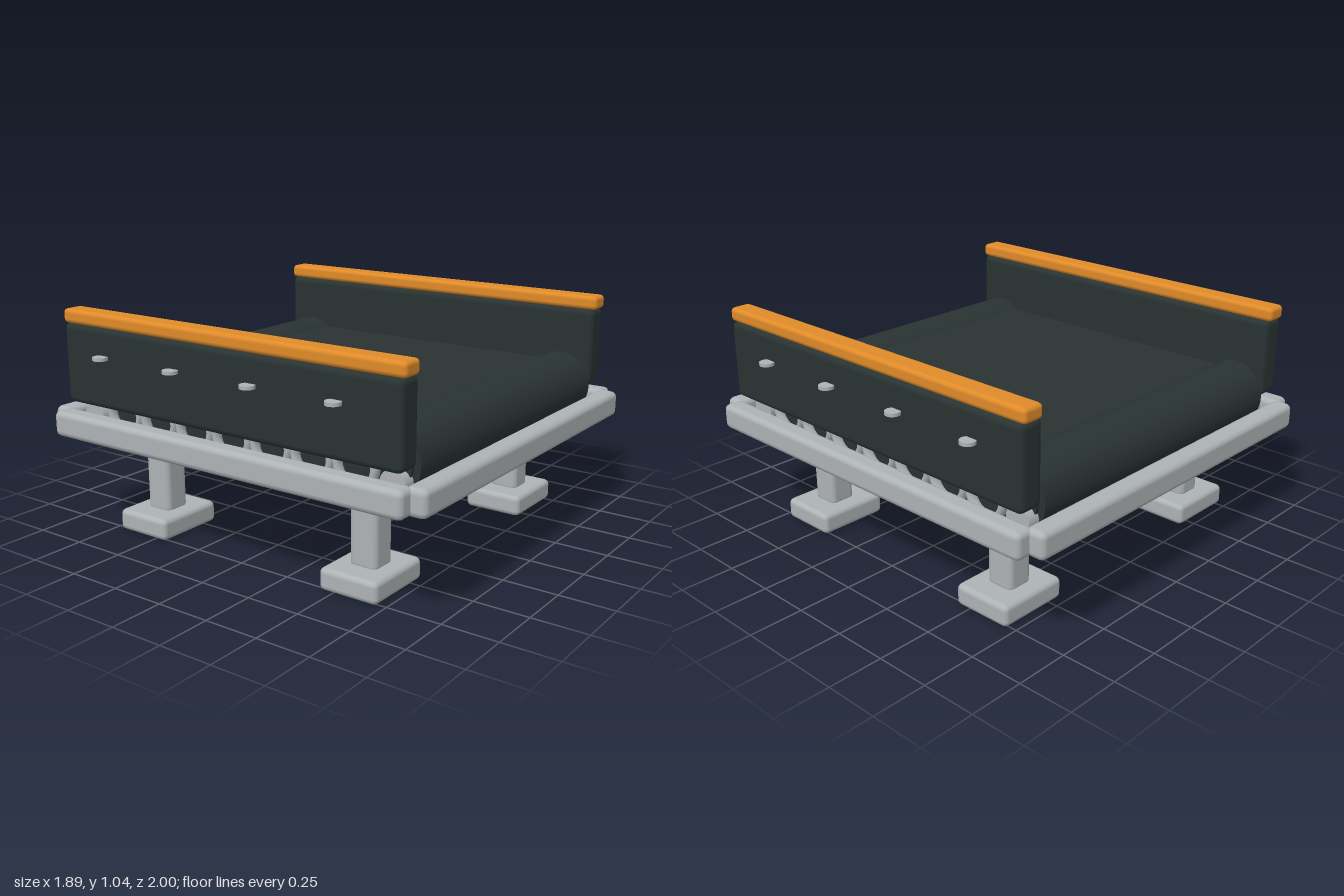
import * as THREE from 'three';
import { RoundedBoxGeometry } from 'three/addons/geometries/RoundedBoxGeometry.js';

export function createModel() {
  const root = new THREE.Group();
  root.name = 'conveyorSegment';

  const material = (name, color) => {
    const m = new THREE.MeshStandardMaterial({ color });
    m.name = name;
    return m;
  };
  const steel = material('steelGrey', 0xaeb3b5);
  const rubber = material('darkRubber', 0x293332);
  const orange = material('safetyOrange', 0xe08b29);

  const add = (name, geometry, mat, x, y, z) => {
    const mesh = new THREE.Mesh(geometry, mat);
    mesh.name = name;
    mesh.position.set(x, y, z);
    root.add(mesh);
    return mesh;
  };
  const box = (w, h, d, r) => new RoundedBoxGeometry(w, h, d, 2, r);
  // Cylinder lying along x
  const bar = (radius, length, sides) =>
    new THREE.CylinderGeometry(radius, radius, length, sides).rotateZ(Math.PI / 2);

  // Rectangular base frame: two end rails and two side rails
  const endRail = box(1.76, 0.12, 0.1, 0.028);
  const sideRail = box(0.1, 0.12, 1.87, 0.028);
  for (const s of [1, -1]) {
    add('endRail', endRail, steel, 0, 0.515, s * 0.95);
    add('sideRail', sideRail, steel, s * 0.895, 0.515, 0);
  }

  // Legs with wide feet
  const leg = box(0.13, 0.44, 0.135, 0.028);
  const foot = box(0.345, 0.1, 0.285, 0.025);
  for (const sx of [1, -1]) {
    for (const sz of [1, -1]) {
      add('leg', leg, steel, sx * 0.605, 0.3, sz * 0.575);
      add('foot', foot, steel, sx * 0.605, 0.05, sz * 0.575);
    }
  }

  // Belt: flat slab set slightly below two large end rolls with hubs and shafts
  add('beltSlab', box(1.51, 0.21, 1.5, 0.012), rubber, 0, 0.617, 0);
  const endRoll = bar(0.15, 1.51, 48);
  const hub = bar(0.12, 1.54, 32);
  const shaft = bar(0.06, 1.62, 24);
  for (const s of [1, -1]) {
    add('endRoll', endRoll, rubber, 0, 0.61, s * 0.75);
    add('endHub', hub, rubber, 0, 0.61, s * 0.75);
    add('endShaft', shaft, steel, 0, 0.54, s * 0.81);
  }

  // Rollers beneath the belt, each with a steel ring at both ends
  const roller = bar(0.1, 1.54, 28);
  const ring = new THREE.TorusGeometry(0.088, 0.017, 10, 32);
  ring.scale(1, 1, 1.5);
  ring.rotateY(Math.PI / 2);
  for (let i = -3; i <= 3; i++) {
    add('roller', roller, rubber, 0, 0.575, i * 0.209);
    for (const s of [1, -1]) add('rollerRing', ring, steel, s * 0.785, 0.575, i * 0.209);
  }

  // Side guards with orange caps and small studs
  const guard = box(0.122, 0.365, 1.79, 0.028);
  const cap = box(0.105, 0.065, 1.81, 0.02);
  const stud = new THREE.CylinderGeometry(0.034, 0.034, 0.015, 24);
  for (const s of [1, -1]) {
    add('sideGuard', guard, rubber, s * 0.824, 0.793, 0);
    add('guardCap', cap, orange, s * 0.825, 1.004, 0);
    for (let i = 0; i < 4; i++) {
      add('guardStud', stud, steel, s * 0.905, 0.847, 0.605 - i * 0.417);
    }
  }
  return root;
}
